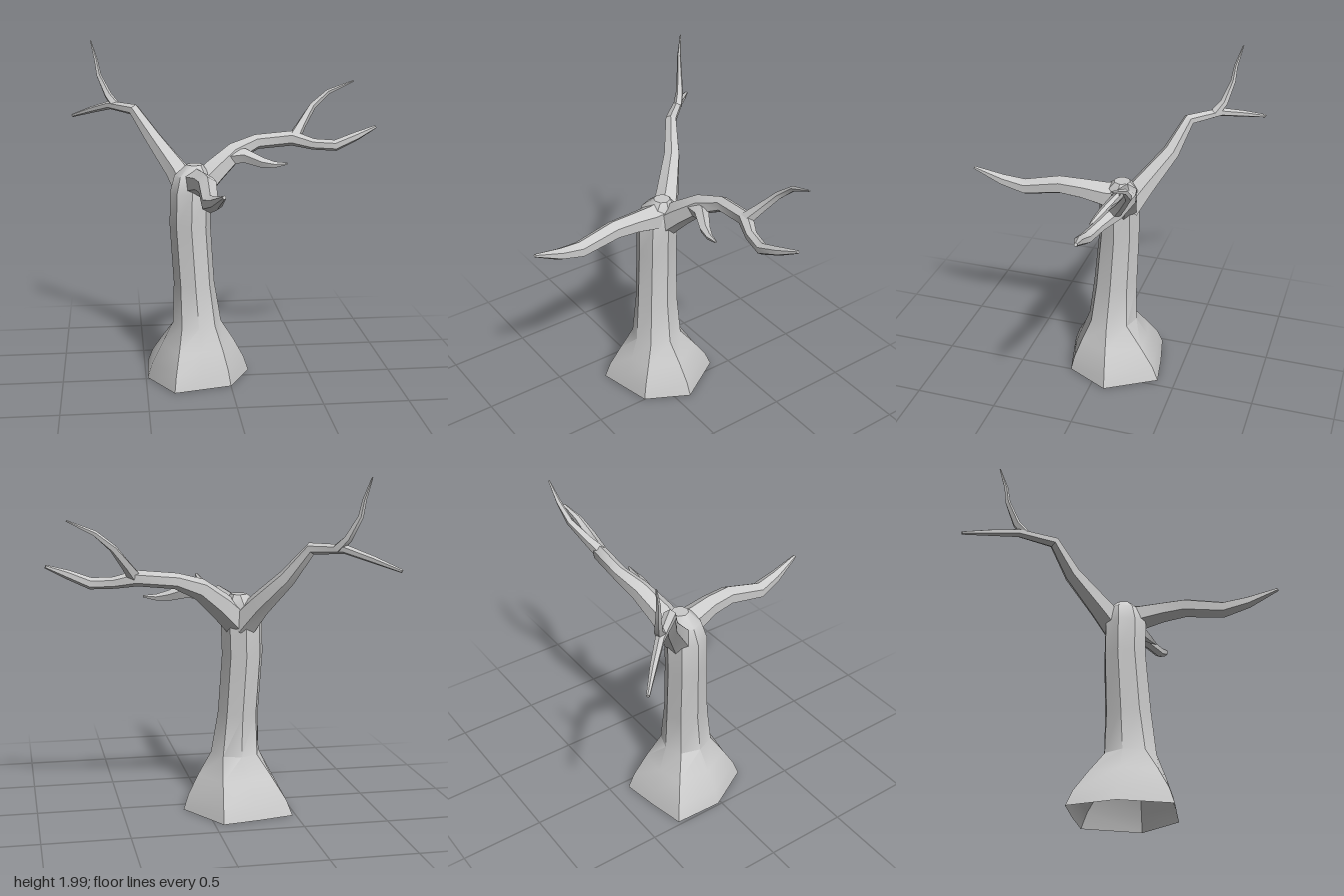
import * as THREE from 'three';
import { toCreasedNormals } from 'three/addons/utils/BufferGeometryUtils.js';

const V = (x, y, z) => new THREE.Vector3(x, y, z);
const material = new THREE.MeshStandardMaterial({ color: 0xcccccc, side: THREE.DoubleSide });

// Skin a series of equal-sided rings and close the far end.
function loft(name, rings) {
  const n = rings[0].length;
  const pos = [];
  const tri = (...pts) => pts.forEach((p) => pos.push(p.x, p.y, p.z));
  for (let i = 0; i < rings.length - 1; i++) {
    for (let k = 0; k < n; k++) {
      const a = rings[i][k], b = rings[i][(k + 1) % n];
      const c = rings[i + 1][(k + 1) % n], d = rings[i + 1][k];
      tri(a, b, c);
      tri(a, c, d);
    }
  }
  const end = rings[rings.length - 1];
  const mid = end.reduce((s, p) => s.add(p), V(0, 0, 0)).divideScalar(n);
  for (let k = 0; k < n; k++) tri(mid, end[k], end[(k + 1) % n]);
  const geo = new THREE.BufferGeometry();
  geo.setAttribute('position', new THREE.Float32BufferAttribute(pos, 3));
  const mesh = new THREE.Mesh(toCreasedNormals(geo, 0.6), material);
  mesh.name = name;
  return mesh;
}

// Tapering limb through rows of [x, y, z, radius].
function limb(name, rows, sides = 6) {
  const pts = rows.map(([x, y, z]) => V(x, y, z));
  const chord = pts[pts.length - 1].clone().sub(pts[0]).normalize();
  const ref = Math.abs(chord.y) > 0.8 ? V(1, 0, 0) : V(0, 1, 0);
  const rings = pts.map((p, i) => {
    const t = pts[Math.min(i + 1, pts.length - 1)].clone().sub(p).normalize();
    if (i > 0) t.add(p.clone().sub(pts[i - 1]).normalize()).normalize();
    const u = ref.clone().addScaledVector(t, -ref.dot(t)).normalize();
    const v = t.clone().cross(u);
    return Array.from({ length: sides }, (_, k) => {
      const a = (k / sides) * Math.PI * 2;
      return p.clone().addScaledVector(u, Math.cos(a) * rows[i][3])
        .addScaledVector(v, Math.sin(a) * rows[i][3]);
    });
  });
  return loft(name, rings);
}

// Trunk: an uneven foot outline blending into a leaning octagon, open below.
function trunk() {
  const foot = [[0.135, -0.09], [-0.05, -0.39], [-0.27, -0.355], [-0.48, -0.31],
    [-0.49, -0.02], [-0.34, 0.25], [-0.17, 0.21], [0, 0.17]];
  // y, centre x, centre z, radius x, radius z, foot weight
  const levels = [
    [0.01, -0.18, -0.05, 0.13, 0.14, 1],
    [0.1, -0.18, -0.05, 0.13, 0.14, 0.84],
    [0.22, -0.18, -0.05, 0.13, 0.14, 0.5],
    [0.35, -0.185, -0.05, 0.13, 0.14, 0.09],
    [0.6, -0.2, -0.063, 0.122, 0.137, 0],
    [0.95, -0.22, -0.078, 0.122, 0.125, 0],
    [1.15, -0.214, -0.078, 0.124, 0.125, 0],
    [1.25, -0.205, -0.09, 0.105, 0.105, 0],
    [1.31, -0.19, -0.1, 0.05, 0.05, 0],
  ];
  return loft('trunk', levels.map(([y, cx, cz, rx, rz, w]) => foot.map(([fx, fz], k) => {
    const a = (k / foot.length) * Math.PI * 2;
    const x = cx + Math.cos(a) * rx, z = cz - Math.sin(a) * rz;
    return V(x + (fx - x) * w, y, z + (fz - z) * w);
  })));
}

export function createModel() {
  const tree = new THREE.Group();
  tree.name = 'bareTree';
  tree.add(
    trunk(),
    // Right branch, sweeping up and back
    limb('rightBranch', [[-0.21, 1.13, -0.12, 0.09], [-0.29, 1.26, -0.21, 0.072],
      [-0.42, 1.43, -0.335, 0.052], [-0.535, 1.6, -0.41, 0.036], [-0.68, 1.61, -0.57, 0.026],
      [-0.8, 1.565, -0.69, 0.02], [-0.92, 1.515, -0.805, 0.01]]),
    limb('rightUpperTwig', [[-0.645, 1.61, -0.54, 0.03], [-0.69, 1.67, -0.585, 0.024],
      [-0.745, 1.79, -0.622, 0.016], [-0.76, 1.88, -0.63, 0.012], [-0.79, 2, -0.662, 0.004]], 5),
    // Left branch with its fork and small side twig
    limb('leftBranch', [[-0.18, 1.15, -0.11, 0.09], [-0.07, 1.255, -0.15, 0.078],
      [0.06, 1.36, -0.205, 0.062], [0.2, 1.415, -0.25, 0.046], [0.42, 1.435, -0.24, 0.046],
      [0.54, 1.405, -0.185, 0.034], [0.67, 1.4, -0.155, 0.034], [0.8, 1.455, -0.16, 0.026],
      [0.92, 1.505, -0.185, 0.01]]),
    limb('leftUpperTwig', [[0.43, 1.44, -0.235, 0.04], [0.48, 1.51, -0.285, 0.03],
      [0.56, 1.615, -0.35, 0.022], [0.66, 1.7, -0.36, 0.016], [0.81, 1.768, -0.335, 0.005]], 5),
    limb('leftSideTwig', [[0, 1.33, -0.18, 0.05], [0.12, 1.345, -0.16, 0.045],
      [0.22, 1.31, -0.11, 0.032], [0.29, 1.3, -0.09, 0.02], [0.365, 1.307, -0.08, 0.006]], 5),
    // Front branch, dipping then rising to its tip
    limb('frontBranch', [[-0.2, 1.21, -0.13, 0.09], [-0.175, 1.215, 0, 0.08],
      [-0.155, 1.24, 0.13, 0.065], [-0.145, 1.25, 0.27, 0.058], [-0.15, 1.2, 0.5, 0.05],
      [-0.13, 1.235, 0.64, 0.036], [-0.105, 1.303, 0.81, 0.01]]),
  );
  return tree;
}
